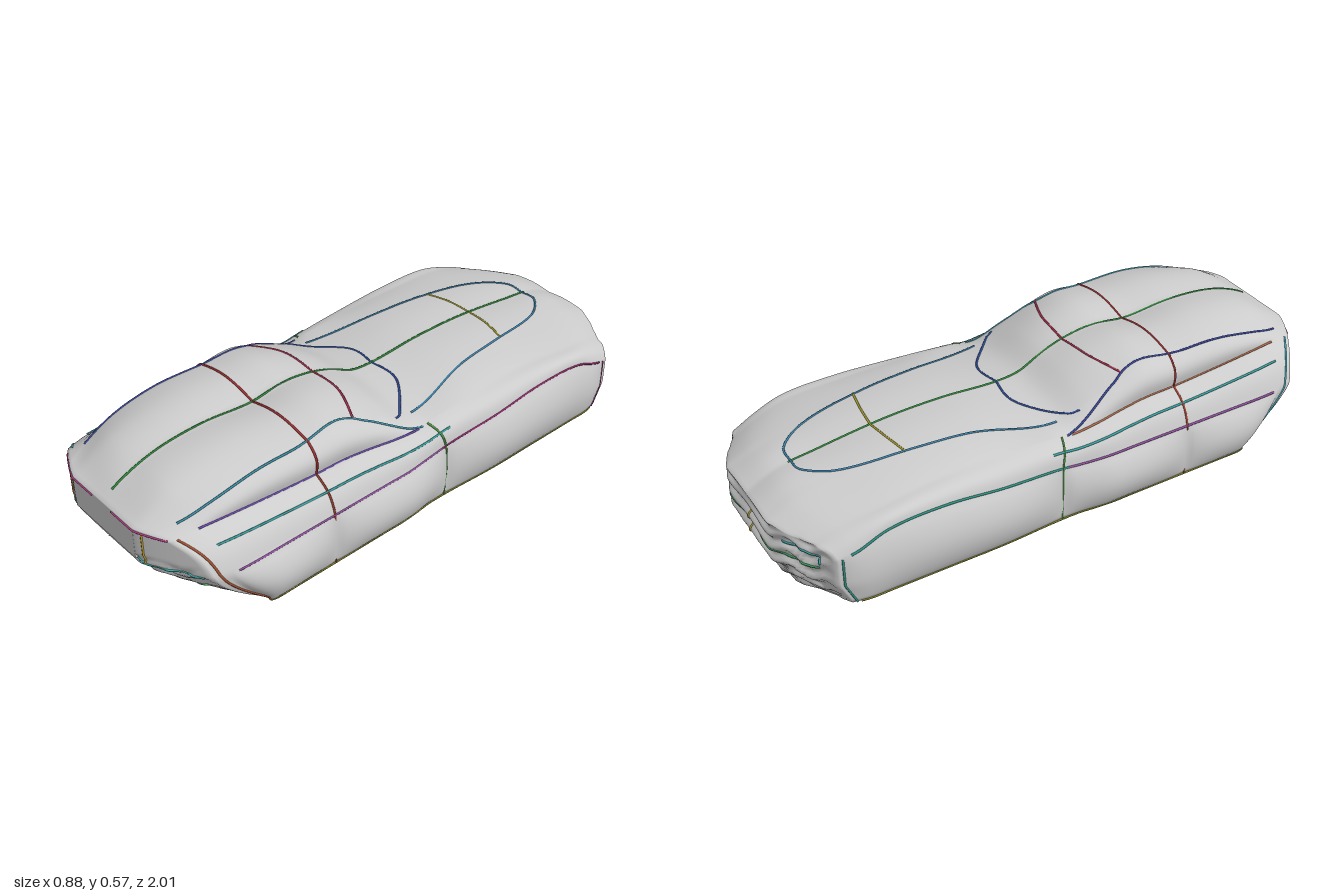
import * as THREE from 'three';

// Section keys along the car: z, half width, waist y, belt x, belt y, rail x, rail y, centre-line y
const KEYS = [
  [-1, .39, .30, .30, .335, .15, .35, .35], [-.9, .40, .32, .32, .37, .13, .40, .40],
  [-.75, .40, .36, .34, .40, .17, .425, .425], [-.5, .40, .37, .33, .42, .19, .45, .455],
  [-.3, .40, .35, .33, .42, .21, .45, .46], [-.08, .39, .33, .33, .41, .26, .42, .45],
  [0, .39, .32, .33, .40, .27, .425, .46], [.1, .40, .32, .33, .41, .275, .47, .51],
  [.2, .40, .32, .32, .42, .28, .51, .54], [.3, .40, .32, .315, .43, .28, .54, .55],
  [.42, .40, .32, .31, .43, .275, .535, .535], [.62, .40, .32, .305, .44, .275, .535, .55],
  [.8, .40, .32, .30, .45, .27, .505, .535], [.92, .395, .32, .29, .45, .25, .47, .495],
  [1, .385, .32, .28, .44, .22, .45, .45],
];
// Panels between the body seams: start z, end z, depth of the swelling underneath
const PANELS = [[-.97, -.07, .109], [-.07, .42, .072], [.42, .92, .062]];

const interp = new THREE.CubicInterpolant(KEYS.map((k) => k[0]), KEYS.flatMap((k) => k.slice(1)), 7, new Float32Array(7));
const { lerp, smoothstep } = THREE.MathUtils;

function swelling(t) {
  const i = PANELS.findIndex((q) => t > q[0] && t < q[1]);
  if (i < 0) return [0, 0];
  const [a, b, depth] = PANELS[i];
  let s = (t - a) / (b - a);
  if (i === 0) s = Math.pow(s, 1.3);
  const f = Math.pow(Math.max(0, Math.sin(Math.PI * s)), .45);
  return [depth * f, .038 * f];
}

// How far the nose or tail is drawn in at a given x, y
function inset(x, y, front) {
  const corner = .13 * Math.pow(Math.max(0, (Math.abs(x) - .16) / .24), 1.2);
  const low = Math.max(0, (front ? .33 : .2) - y);
  const under = front ? .21 * Math.pow(Math.min(1, low / .21), 1.4) : .045 * Math.min(1, low / .09);
  const fade = (1 - smoothstep(y, .31, .36)) * (1 - smoothstep(Math.abs(x), .32, .39));
  const ridges = .008 * (1 + Math.sin(y * 115 + 1.8 * Math.sin(x * x * 90)));
  return Math.min(.32, corner + under + ridges * fade);
}

function place(x, y, t) {
  const k = Math.max(0, (Math.abs(t) - .4) / .6);
  return new THREE.Vector3(x, y, t - Math.sign(t) * inset(x, y, t > 0) * k * k);
}

// Half section: u runs 0 underside, 1 sill, 2 waist, 3 belt, 4 roof rail, 5 centre line
function section(u, t) {
  const [w, ys, bx, by, rx, ry, top] = interp.evaluate(t);
  const [drop, bulge] = swelling(t);
  const n = Math.min(4, Math.floor(u)), s = u - n;
  const arch = Math.max(0, Math.sin(Math.PI * s));
  if (n === 0) {
    const inner = Math.max(0, (s - .08) / .92);
    return [w * s, lerp(.095, .12, s) - drop * Math.pow(Math.max(0, Math.sin(Math.PI * Math.pow(inner, .8))), .8)];
  }
  if (n === 1) return [w + bulge * Math.pow(arch, .8), lerp(.12, ys, s)];
  if (n === 2) return [lerp(w, bx, s) + .015 * arch, lerp(ys, by, s) + .012 * arch];
  if (n === 3) return [lerp(bx, rx, s) + .2 * (ry - by) * arch, lerp(by, ry, s) + .06 * (ry - by) * arch];
  // Twin swellings over the roof, fading out on the deck and at the nose
  const lobe = lerp(.006, .024, smoothstep(t, -.05, .2)) * (1 - smoothstep(t, .85, 1));
  return [lerp(rx, 0, s), lerp(ry, top, s) + lobe * arch];
}

// Closed body, lofted from tail cap to nose cap
function bodyGeometry() {
  const half = 60, count = half * 2, capRings = 26, rings = [];
  const addRing = (t, scale) => {
    const cy = t > 0 ? .31 : .25, ring = [];
    for (let j = 0; j < count; j++) {
      const right = j > half;
      const [x, y] = section((right ? count - j : j) / half * 5, t);
      ring.push(place((right ? -x : x) * scale, cy + (y - cy) * scale, t));
    }
    rings.push(ring);
  };
  for (let i = 0; i < capRings; i++) addRing(-1, i / capRings);
  for (let i = 0; i <= 160; i++) addRing(-1 + i / 80, 1);
  for (let i = capRings - 1; i >= 0; i--) addRing(1, i / capRings);
  const index = [];
  for (let i = 0; i < rings.length - 1; i++) {
    for (let j = 0; j < count; j++) {
      const a = i * count + j, b = i * count + (j + 1) % count;
      index.push(a, b, a + count, b, b + count, a + count);
    }
  }
  const geo = new THREE.BufferGeometry().setFromPoints(rings.flat());
  geo.setIndex(index);
  geo.computeVertexNormals();
  return geo;
}

export function createModel() {
  const car = new THREE.Group();
  car.name = 'carBody';
  const grey = new THREE.MeshStandardMaterial({ color: 0xcccccc });
  const add = (name, geo, material) => {
    const mesh = new THREE.Mesh(geo, material);
    mesh.name = name;
    car.add(mesh);
    return mesh;
  };
  add('bodyShell', bodyGeometry(), grey);

  // Thin tube through a smooth list of pairs, each mapped onto the shell; one colour per side
  const line = (name, colors, list, map) => colors.forEach((color, i) => {
    const pairs = new THREE.SplineCurve(list.map((p) => new THREE.Vector2(...p))).getPoints(30);
    const path = new THREE.CatmullRomCurve3(pairs.map((p) => map(p.x, p.y, i ? -1 : 1)));
    add(name, new THREE.TubeGeometry(path, 60, .004, 5), new THREE.MeshStandardMaterial({ color }));
  });
  // Seam on the shell through [u, z] points
  const seam = (name, colors, list) => line(name, colors, list, (u, t, side) => {
    const [x, y] = section(u, t);
    return place(x * side, y, t);
  });
  // Seam on the nose (end 1) or tail (end -1) through [x, y] points
  const faceSeam = (name, colors, end, list) => line(name, colors, list, (x, y, side) => place(x * side, y, end));

  // Lengthwise seams
  seam('roofCentreSeam', [0x2e8b3a], [[5, -.85], [5, 0], [5, .96]]);
  seam('undersideCentreSeam', [0x8a2f5a], [[0, -.95], [0, 0], [0, .95]]);
  seam('sillSeam', [0x8a8a2a, 0x8a8a2a], [[1, -.95], [1, 0], [1, .92]]);
  seam('rearWaistSeam', [0x8f2a6a, 0x2a8f80], [[2, -.93], [2, -.05]]);
  seam('doorWaistSeam', [0x9050a0, 0x9050a0], [[2, -.05], [2, .88]]);
  seam('beltSeam', [0x6a48b0, 0xb06a48], [[3, 0], [3, .9]]);
  seam('shoulderSeam', [0x3aa0a0, 0x3aa0a0], [[2.5, -.1], [2.6, .9]]);
  seam('roofRailSeam', [0x3a90a8, 0x3a48a0], [[3, -.02], [4, .2], [4, .5], [4, .93]]);
  seam('deckSeam', [0x3a80a8, 0x3a80a8], [[5, -.84], [4.5, -.83], [4.15, -.72], [4, -.45], [4, -.02]]);

  // Crosswise seams
  seam('rearPanelSeam', [0x4a8a40, 0x4a8a40], [[1, -.07], [2, -.07], [3, -.04]]);
  seam('frontPanelSeam', [0x9a4030, 0x9a4030], [[1, .42], [2, .42], [3, .42]]);
  seam('roofCrossSeam', [0xa03030, 0xa03030], [[3, .42], [4, .42], [5, .42]]);
  seam('windscreenTopSeam', [0xb03050, 0xb03050], [[4.05, .23], [4.5, .18], [5, .17]]);
  seam('windscreenBaseSeam', [0x3050a0, 0x3050a0], [[3.9, .06], [4.5, -.09], [5, -.09]]);
  seam('deckArcSeam', [0xa8a030, 0xa8a030], [[4, -.53], [4.5, -.55], [5, -.56]]);
  seam('undersideRearSeam', [0x8a8a2a, 0x8a8a2a], [[0, -.07], [1, -.07]]);
  seam('undersideFrontSeam', [0x8a8a2a, 0x8a8a2a], [[0, .42], [1, .42]]);
  seam('tailCornerSeam', [0xb03090, 0x309080], [[1, -.97], [2, -.97]]);
  seam('noseCornerSeam', [0xa05030, 0x40a0b0], [[1, .94], [2, .96], [3, .98]]);

  // Nose: plate recess lines, waist, lamps, intakes and lower lip
  faceSeam('plateSide', [0xc0a030, 0xc08030], 1, [[.19, .32], [.19, .44]]);
  faceSeam('noseTopSeam', [0xc04090, 0xc04090], 1, [[.05, .44], [.27, .44]]);
  faceSeam('noseWaistSeam', [0x40b0b0, 0x40b0b0], 1, [[.12, .32], [.36, .32]]);
  faceSeam('noseCentreSeam', [0x902050], 1, [[0, .12], [0, .31]]);
  faceSeam('noseLipSeam', [0xc03090, 0xc03090], 1, [[0, .125], [.35, .125]]);
  faceSeam('lampSeam', [0x50c070, 0x5040b0], 1, [[.23, .235], [.32, .24], [.32, .26]]);
  faceSeam('intakeSeam', [0x4080c0, 0xb040a0], 1, [[.13, .13], [.19, .17], [.26, .2]]);

  // Tail: bumper and lamp lines
  faceSeam('tailBumperSeam', [0x40a060, 0x40a060], -1, [[0, .24], [.2, .24], [.33, .25]]);
  faceSeam('tailCentreSeam', [0xa09030], -1, [[0, .19], [0, .28]]);
  faceSeam('tailLampSeam', [0x9040a0, 0x40a0a0], -1, [[.2, .29], [.3, .3], [.34, .27]]);

  // Raised plate panel on the nose
  add('platePanel', new THREE.BoxGeometry(.32, .11, .04), grey).position.set(0, .385, .98);
  return car;
}
